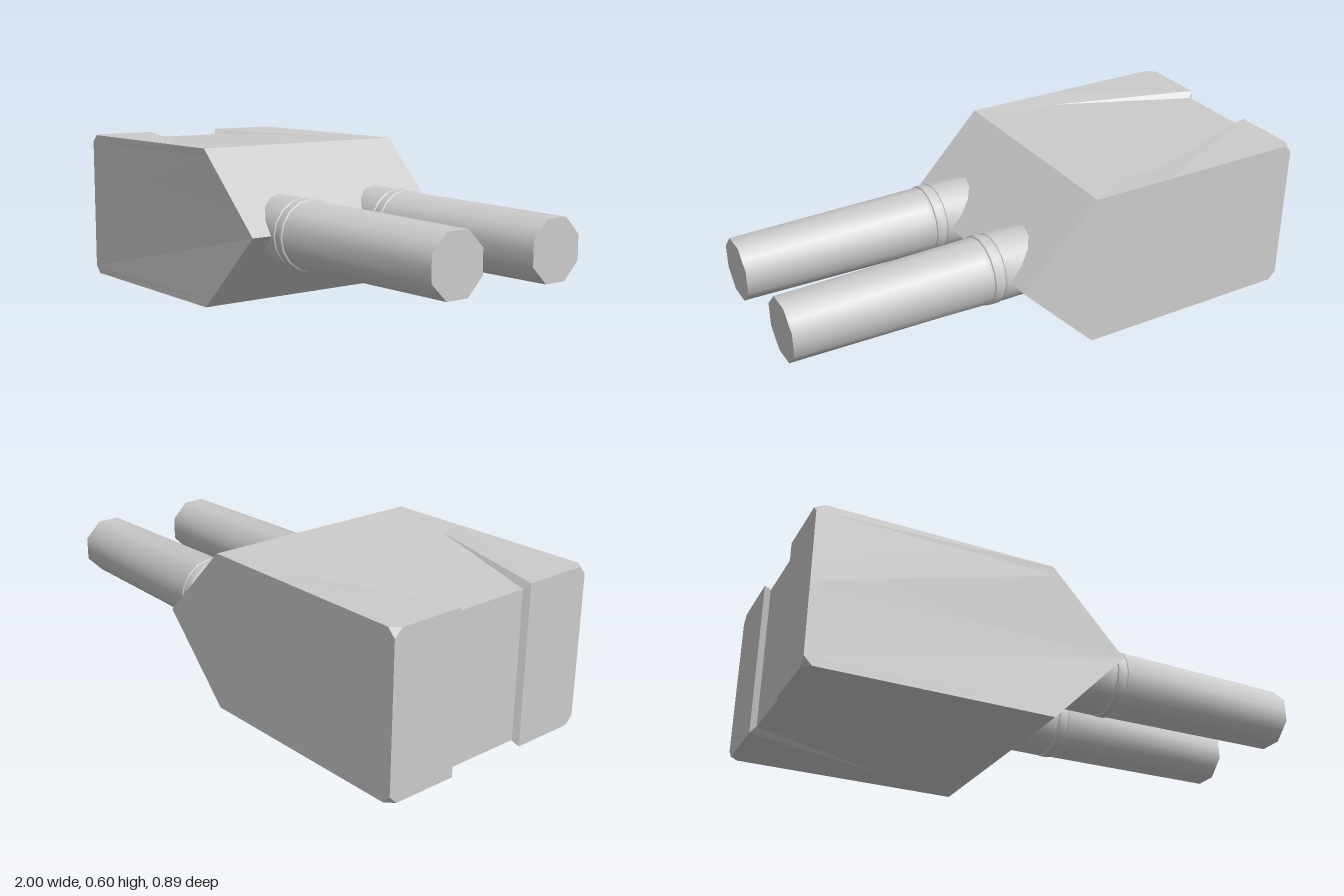
import * as THREE from 'three';
import { toCreasedNormals } from 'three/addons/utils/BufferGeometryUtils.js';

const material = new THREE.MeshStandardMaterial({ color: 0xcccccc, side: THREE.DoubleSide });
const vec = (x, y, z) => new THREE.Vector3(x, y, z);

// Triangles skinning equal-length rings, counter-clockwise about the direction of travel
function skin(rings) {
  const tris = [];
  const n = rings[0].length;
  for (let i = 0; i + 1 < rings.length; i++) {
    for (let j = 0; j < n; j++) {
      const k = (j + 1) % n;
      tris.push([rings[i][j], rings[i][k], rings[i + 1][k]]);
      tris.push([rings[i][j], rings[i + 1][k], rings[i + 1][j]]);
    }
  }
  return tris;
}

// Fan triangles of a convex polygon, turned to face the given direction
function panel(points, facing) {
  const tris = [];
  for (let i = 1; i + 1 < points.length; i++) {
    const t = [points[0], points[i], points[i + 1]];
    const normal = new THREE.Triangle(...t).getNormal(vec(0, 0, 0));
    tris.push(normal.dot(facing) < 0 ? t.reverse() : t);
  }
  return tris;
}

function toGeometry(tris, crease) {
  const solid = tris.filter((t) => new THREE.Triangle(...t).getArea() > 1e-7);
  const g = new THREE.BufferGeometry().setFromPoints(solid.flat());
  return toCreasedNormals(g, crease);
}

const HEIGHT = 0.595;
const MID = HEIGHT / 2;
const DEPTH = 0.446; // half depth
const CLIP = 0.03;
const SHOULDER = -0.11; // where the wedge begins
const RECESS = 0.022; // recess depth at the back notch

// Outline of the housing at one height: wedge front, notched back, clipped corners
function housingRing(y) {
  const fromEnd = Math.min(y, HEIGHT - y);
  const clip = Math.max(0, CLIP - fromEnd);
  const front = SHOULDER + 0.295 * (fromEnd / MID);
  const frontZ = DEPTH - 0.013 * (fromEnd / MID);
  const sink = fromEnd > 0 ? 0 : RECESS * Math.sign(MID - y);
  return [
    vec(front, y, frontZ), vec(front, y, -DEPTH),
    vec(-1 + clip, y, -DEPTH), vec(-1, y, -DEPTH + clip),
    vec(-1, y, -0.165), vec(-0.98, y + sink, -0.15),
    vec(-0.98, y + sink, 0.15), vec(-1, y, 0.165),
    vec(-1, y, DEPTH - clip), vec(-1 + clip, y, DEPTH),
  ];
}

// Top or bottom face: a shallow recess widening from the back notch to the shoulder
function recessedFace(y) {
  const facing = vec(0, Math.sign(y - MID), 0);
  const floorPoint = (x, z) => {
    const sink = RECESS * (SHOULDER - x) / (SHOULDER + 0.98);
    return vec(x, y - facing.y * sink, z);
  };
  const floorEdge = (s) => [
    floorPoint(-0.98, s * 0.15), floorPoint(-0.43, s * 0.35),
    floorPoint(-0.27, s * 0.35), vec(SHOULDER, y, s * DEPTH),
  ];
  const tris = panel([...floorEdge(1), ...floorEdge(-1).reverse()], facing);
  for (const s of [1, -1]) {
    const [notch, back, front, shoulder] = floorEdge(s);
    const rim = vec(-1, y, s * 0.165);
    const side = vec(-0.43, y, s * DEPTH);
    // flat corner panel, then the two sloping walls of the recess
    tris.push(
      ...panel([rim, vec(-1, y, s * (DEPTH - CLIP)), vec(-1 + CLIP, y, s * DEPTH), side], facing),
      ...panel([rim, side, back, notch], facing),
      ...panel([side, shoulder, front, back], facing),
    );
  }
  return tris;
}

// Grooved collar stations: x, radius
const COLLAR = [
  [0.2, 0.13], [0.203, 0.126], [0.21, 0.126], [0.213, 0.132],
  [0.245, 0.132], [0.248, 0.126], [0.254, 0.126], [0.256, 0.129], [0.262, 0.127],
];
const SIDES = 16;

function cableRing(fx, fr) {
  return Array.from({ length: SIDES }, (_, k) => {
    const a = (k / SIDES) * Math.PI * 2;
    const y = Math.cos(a) * fr(k);
    return vec(fx(y), y, Math.sin(a) * fr(k));
  });
}

function cableGeometry() {
  // free end is an octagon
  const end = cableRing(() => 1, (k) => (k % 2 ? 0.118 : 0.109));
  const rings = [
    // root follows the wedge, just under its surface
    cableRing((y) => 0.17 - Math.abs(y), () => 0.13),
    ...COLLAR.map(([x, r]) => cableRing(() => x, () => r)),
    end,
  ];
  return toGeometry([...skin(rings), ...panel(end, vec(1, 0, 0))], 0.82);
}

export function createModel() {
  const group = new THREE.Group();
  group.name = 'twinCableConnector';

  // Housing
  const layers = [0, CLIP, MID, HEIGHT - CLIP, HEIGHT].map(housingRing);
  const housing = new THREE.Mesh(
    toGeometry([...skin(layers), ...recessedFace(0), ...recessedFace(HEIGHT)], 0.04), material);
  housing.name = 'housing';
  group.add(housing);

  // Two cables with grooved collars
  const geometry = cableGeometry();
  for (const side of [-1, 1]) {
    const cable = new THREE.Mesh(geometry, material);
    cable.name = side > 0 ? 'frontCable' : 'backCable';
    cable.position.set(0, MID, side * 0.224);
    group.add(cable);
  }
  return group;
}
